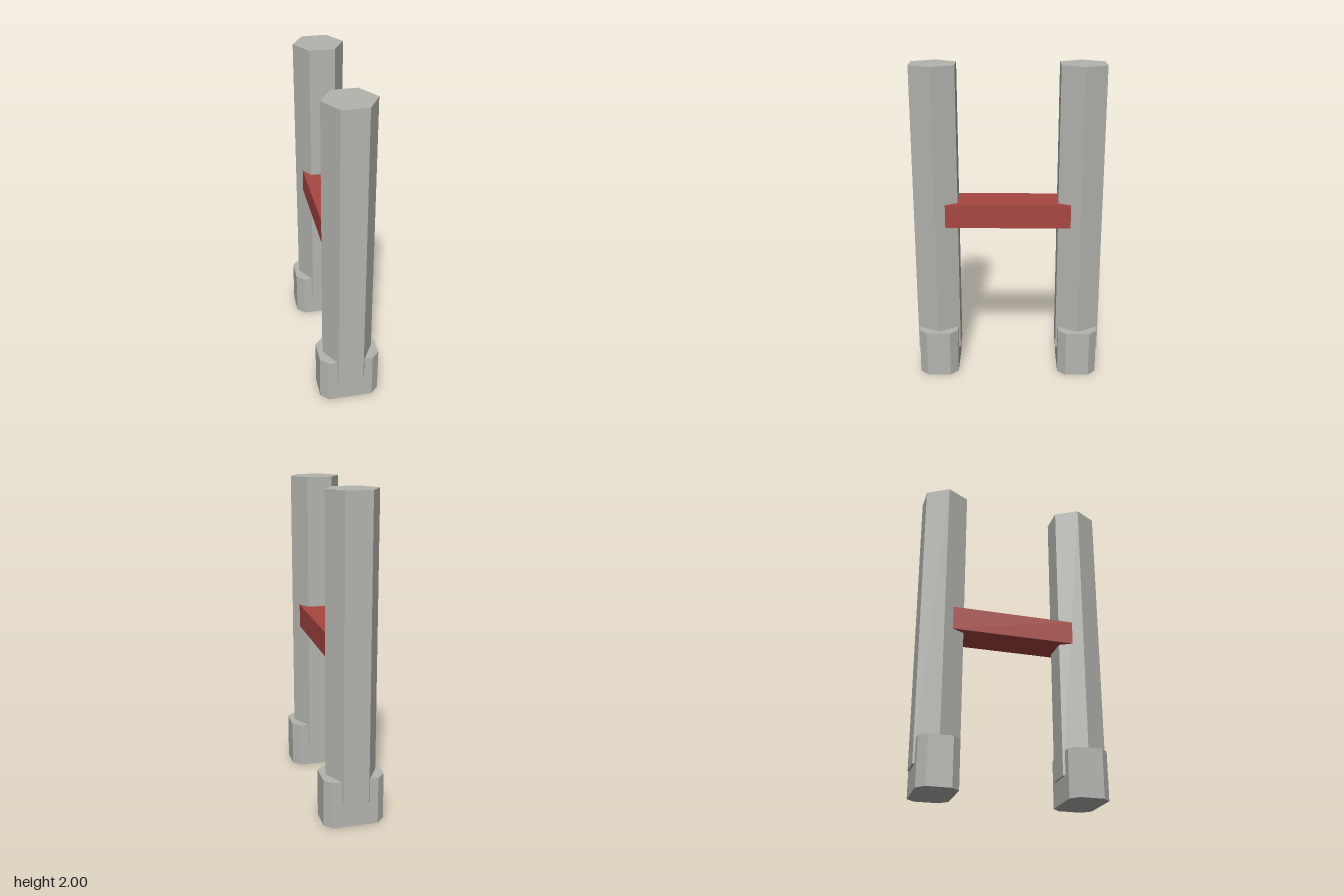
import * as THREE from 'three';

const stone = new THREE.MeshStandardMaterial({ color: 0xb4b4af, flatShading: true });
stone.name = 'pale grey';
const red = new THREE.MeshStandardMaterial({ color: 0xa84641, flatShading: true });
red.name = 'brick red';

function part(name, geometry, material, y, z = 0) {
  const mesh = new THREE.Mesh(geometry, material);
  mesh.name = name;
  mesh.position.set(0, y, z);
  return mesh;
}

// Block with chamfered upright corners, standing on y = 0
function footGeometry(halfX, halfZ, chamfer, height) {
  const innerX = halfX - chamfer, innerZ = halfZ - chamfer;
  const outline = new THREE.Shape([
    [halfX, -innerZ], [halfX, innerZ], [innerX, halfZ], [-innerX, halfZ],
    [-halfX, innerZ], [-halfX, -innerZ], [-innerX, -halfZ], [innerX, -halfZ],
  ].map(([x, z]) => new THREE.Vector2(x, z)));
  return new THREE.ExtrudeGeometry(outline, { depth: height, bevelEnabled: false })
    .rotateX(-Math.PI / 2);
}

export function createModel() {
  const model = new THREE.Group();
  model.name = 'gateFrame';

  // Hexagonal post with two corners pointing sideways
  const postGeometry = new THREE.CylinderGeometry(0.158, 0.158, 1.85, 6).rotateY(Math.PI / 6);
  const foot = footGeometry(0.188, 0.124, 0.049, 0.3);

  for (const [side, sign] of [['front', 1], ['back', -1]]) {
    model.add(part(side + 'Post', postGeometry, stone, 1.075, sign * 0.45));
    model.add(part(side + 'Foot', foot, stone, 0, sign * 0.45));
  }

  // Crossbar set into both posts
  model.add(part('crossbar', new THREE.BoxGeometry(0.246, 0.15, 0.82), red, 1.077));
  return model;
}
